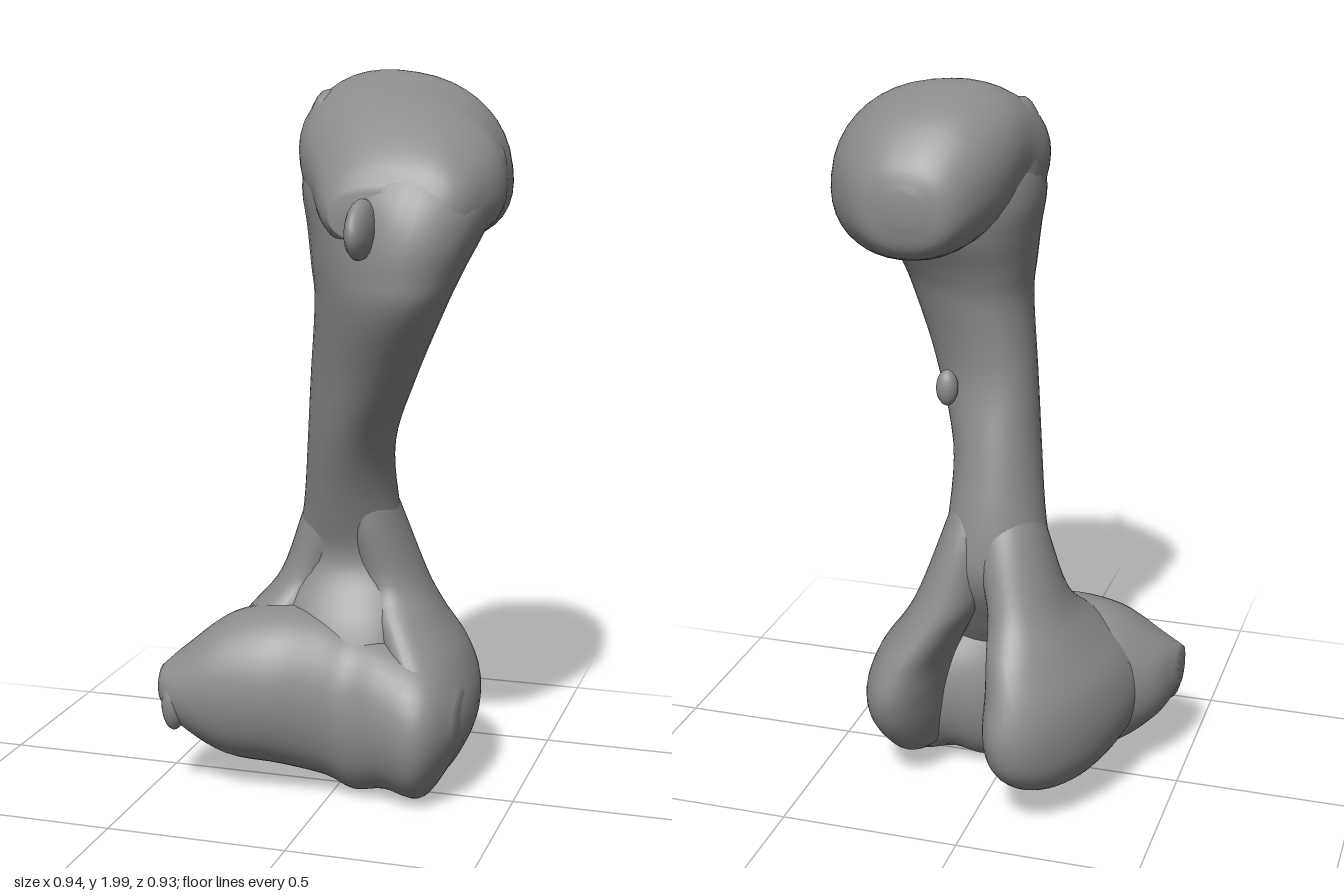
import * as THREE from 'three';

const material = new THREE.MeshStandardMaterial({ color: 0x8c8c8c });

// Smooth closed loft along an axis. Each ring is [t, aMin, aMax, bMin, bMax, skew]:
// a slanted oval at position t (ascending); (a, b) are the other axes in x, y, z order.
// power < 1 makes the ovals squarer.
function loft(name, axis, rings, power = 1, sides = 40, steps = 5) {
  const place = {
    x: (t, a, b) => [t, a, b],
    y: (t, a, b) => [a, t, b],
    z: (t, a, b) => [a, b, t],
  }[axis];
  const round = (v) => Math.sign(v) * Math.abs(v) ** power;
  const spline = new THREE.CubicInterpolant(
    rings.map((_, i) => i), rings.flatMap((r) => [...r, 0].slice(0, 6)), 6);
  const rows = (rings.length - 1) * steps + 1;
  const pos = [], index = [];
  for (let i = 0; i < rows; i++) {
    const [t, a0, a1, b0, b1, skew] = spline.evaluate(i / steps);
    const phase = Math.asin(skew);
    for (let j = 0; j < sides; j++) {
      const u = (j / sides) * Math.PI * 2;
      pos.push(...place(t,
        (a0 + a1) / 2 + ((a1 - a0) / 2) * round(Math.cos(u)),
        (b0 + b1) / 2 + ((b1 - b0) / 2) * round(Math.sin(u + phase))));
    }
  }
  const last = rows * sides;
  for (const r of [rings[0], rings[rings.length - 1]])
    pos.push(...place(r[0], (r[1] + r[2]) / 2, (r[3] + r[4]) / 2));
  // the y axis reverses the handedness of the section plane
  const tri = (a, b, c) => (axis === 'y' ? index.push(a, c, b) : index.push(a, b, c));
  for (let j = 0; j < sides; j++) {
    const k = (j + 1) % sides;
    for (let i = 0; i < rows - 1; i++) {
      const p = i * sides, q = p + sides;
      tri(p + j, p + k, q + j);
      tri(p + k, q + k, q + j);
    }
    tri(last, k, j);
    tri(last + 1, last - sides + j, last - sides + k);
  }
  const geometry = new THREE.BufferGeometry();
  geometry.setAttribute('position', new THREE.Float32BufferAttribute(pos, 3));
  geometry.setIndex(index);
  geometry.computeVertexNormals();
  const mesh = new THREE.Mesh(geometry, material);
  mesh.name = name;
  return mesh;
}

// Small rounded lump
function lump(name, position, scale, tilt = 0) {
  const mesh = new THREE.Mesh(new THREE.SphereGeometry(1, 16, 12), material);
  mesh.name = name;
  mesh.position.set(...position);
  mesh.scale.set(...scale);
  mesh.rotation.x = tilt;
  return mesh;
}

export function createModel() {
  const bone = new THREE.Group();
  bone.name = 'upperArmBone';

  // Shaft, flaring forward into the crest and wrapping the head at the top
  bone.add(loft('shaft', 'y', [
    [0.4, -0.16, 0.2, -0.08, 0.12],
    [0.5, -0.19, 0.2, -0.15, 0.08],
    [0.65, -0.17, 0.17, -0.235, 0.0],
    [0.8, -0.13, 0.14, -0.23, 0.04],
    [1.0, -0.1, 0.15, -0.18, 0.13, 0.15],
    [1.2, -0.08, 0.24, -0.13, 0.24, 0.4],
    [1.4, -0.06, 0.34, -0.14, 0.365, 0.46],
    [1.5, -0.07, 0.385, -0.17, 0.385, 0.42],
    [1.6, -0.085, 0.43, -0.22, 0.38, 0.35],
    [1.7, -0.1, 0.46, -0.25, 0.345, 0.25],
    [1.8, -0.08, 0.45, -0.24, 0.27, 0.15],
    [1.87, 0, 0.36, -0.12, 0.19],
  ]));

  // Rounded joint head overhanging the back, sloping down to the front
  bone.add(loft('head', 'z', [
    [-0.412, 0.11, 0.19, 1.69, 1.77],
    [-0.385, 0.03, 0.28, 1.61, 1.84],
    [-0.3, -0.03, 0.36, 1.57, 1.93, -0.1],
    [-0.2, -0.07, 0.42, 1.55, 1.98, -0.2],
    [-0.1, -0.09, 0.45, 1.55, 2.0, -0.25],
    [0, -0.11, 0.46, 1.55, 1.97, -0.2],
    [0.1, -0.08, 0.47, 1.55, 1.93, -0.15],
    [0.2, -0.02, 0.45, 1.54, 1.87, -0.1],
    [0.29, 0.03, 0.41, 1.55, 1.79],
    [0.335, 0.07, 0.35, 1.58, 1.71],
  ], 0.9));

  // Rough projections on the front, inner side and shaft
  bone.add(lump('frontSpur', [0.165, 1.62, 0.37], [0.035, 0.075, 0.095], 0.25));
  bone.add(lump('innerTubercle', [-0.04, 1.8, -0.03], [0.06, 0.15, 0.1]));
  bone.add(lump('shaftNodule', [0.14, 1.17, -0.11], [0.03, 0.05, 0.03]));

  // Two columns enclosing the hollow at the back of the lower end
  bone.add(loft('innerColumn', 'y', [
    [0.085, -0.24, -0.12, -0.2, 0.02],
    [0.12, -0.31, -0.07, -0.35, 0.1, -0.3],
    [0.2, -0.37, -0.04, -0.44, 0.16, -0.45],
    [0.3, -0.39, -0.03, -0.465, 0.17, -0.5],
    [0.4, -0.36, -0.03, -0.44, 0.14, -0.45],
    [0.5, -0.28, -0.02, -0.39, 0.07, -0.35],
    [0.6, -0.205, 0.0, -0.31, 0.0, -0.15],
    [0.8, -0.13, 0.06, -0.225, 0.0],
    [1.0, -0.04, 0.04, -0.1, -0.04],
  ]));
  bone.add(loft('outerColumn', 'y', [
    [0.05, 0.21, 0.28, -0.1, 0.04],
    [0.1, 0.17, 0.325, -0.2, 0.12],
    [0.2, 0.15, 0.37, -0.29, 0.17],
    [0.3, 0.14, 0.372, -0.33, 0.17],
    [0.4, 0.12, 0.335, -0.32, 0.13],
    [0.5, 0.07, 0.265, -0.295, 0.06],
    [0.6, 0.02, 0.21, -0.27, 0.0],
    [0.8, -0.01, 0.14, -0.22, 0.02],
    [1.0, 0.0, 0.08, -0.1, 0.0],
  ]));

  // Spool-shaped lower joint running across the bone
  bone.add(loft('lowerJoint', 'x', [
    [-0.475, 0.25, 0.36, 0.1, 0.19],
    [-0.42, 0.17, 0.41, -0.02, 0.215],
    [-0.3, 0.09, 0.5, -0.12, 0.23],
    [-0.15, 0.07, 0.53, -0.16, 0.225],
    [-0.02, 0.045, 0.51, -0.14, 0.19],
    [0.06, 0.01, 0.48, -0.14, 0.18],
    [0.15, 0.025, 0.46, -0.15, 0.2],
    [0.25, 0.01, 0.43, -0.17, 0.22],
    [0.31, 0.08, 0.39, -0.15, 0.19],
    [0.36, 0.18, 0.32, -0.08, 0.1],
  ]));

  // Bony bump at the inner end of the joint
  bone.add(lump('innerEndSpur', [-0.435, 0.26, 0.17], [0.035, 0.08, 0.045]));
  return bone;
}
